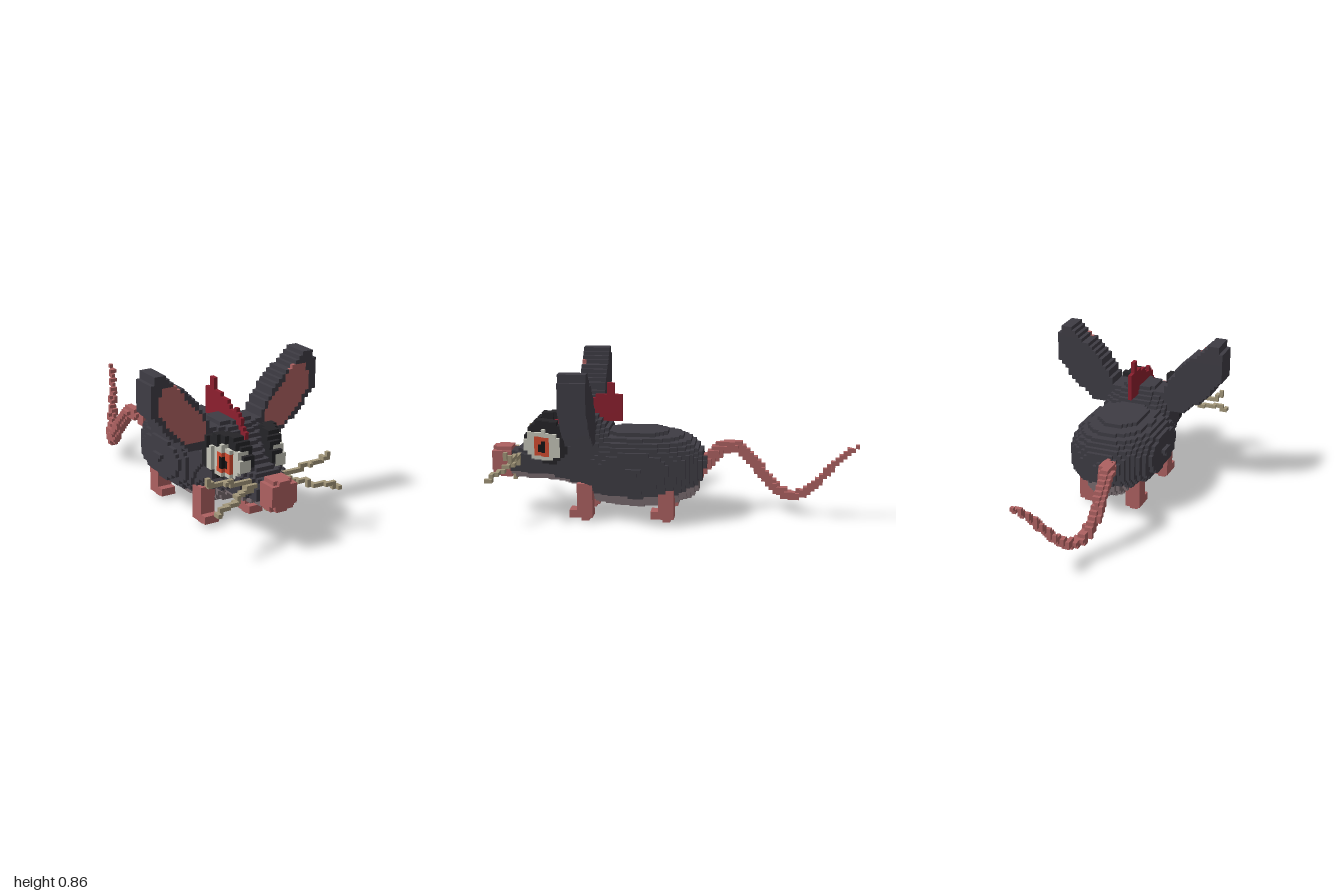
import * as THREE from 'three';

const S = 2 / 95; // cube size
const COLORS = {
  fur: 0x3e3c44, darkFur: 0x252428, skin: 0xad6161, belly: 0x776a6e, crest: 0x8c1f2e,
  whisker: 0xa3977a, eyeWhite: 0xc6c6ba, iris: 0xd64c30, pupil: 0x171516,
};
const V = (x, y, z) => new THREE.Vector3(x, y, z);

// Linear interpolation over rows [key, a, b, ...]
function sample(rows, k) {
  if (k < rows[0][0] || k > rows[rows.length - 1][0]) return null;
  let i = 1;
  while (rows[i][0] < k) i++;
  const p = rows[i - 1], q = rows[i], t = (k - p[0]) / (q[0] - p[0]);
  return p.map((v, n) => v + (q[n] - v) * t);
}

function inPolygon(pts, x, y) {
  let inside = false;
  for (let i = 0, j = pts.length - 1; i < pts.length; j = i++) {
    const [ax, ay] = pts[i], [bx, by] = pts[j];
    if (ay > y !== by > y && x < ((bx - ax) * (y - ay)) / (by - ay) + ax) inside = !inside;
  }
  return inside;
}

const blob = (c, r, e) => (x, y, z) =>
  Math.abs((x - c[0]) / r[0]) ** e + Math.abs((y - c[1]) / r[1]) ** e + Math.abs((z - c[2]) / r[2]) ** e < 1;

export function createModel() {
  const cells = new Map(); // "i,j,k" -> part name
  const partColor = {};
  const key = (i, j, k) => i + ',' + j + ',' + k;

  // Fill every cube whose centre lies in the box and passes the test
  function paint(name, color, lo, hi, test = () => true) {
    partColor[name] = color;
    for (let i = Math.ceil(lo[0] / S); i * S <= hi[0]; i++)
      for (let j = Math.max(0, Math.ceil(lo[1] / S - 0.5)); (j + 0.5) * S <= hi[1]; j++)
        for (let k = Math.max(-47, Math.ceil(lo[2] / S)); k <= 47 && k * S <= hi[2]; k++)
          if (test(i * S, (j + 0.5) * S, k * S)) cells.set(key(i, j, k), name);
  }
  // The same on both sides; tests see x as positive
  function paintPair(name, color, lo, hi, test = () => true) {
    paint('left' + name, color, lo, hi, test);
    paint('right' + name, color, [-hi[0], lo[1], lo[2]], [-lo[0], hi[1], hi[2]], (x, y, z) => test(-x, y, z));
  }
  // Thread of cubes along a curve, tapering from r0 to r1
  function thread(name, color, points, r0, r1, mirror = 1) {
    partColor[name] = color;
    const curve = new THREE.CatmullRomCurve3(points.map((p) => V(p[0] * mirror, p[1], p[2])));
    for (let n = 0; n <= 240; n++) {
      const p = curve.getPoint(n / 240), r = r0 + ((r1 - r0) * n) / 240;
      cells.set(key(Math.round(p.x / S), Math.max(0, Math.floor(p.y / S)), Math.max(-47, Math.round(p.z / S))), name);
      paint(name, color, [p.x - r, p.y - r, p.z - r], [p.x + r, p.y + r, p.z + r],
        (x, y, z) => p.distanceTo(V(x, y, z)) < r);
    }
  }

  // Body and belly
  paint('body', 'fur', [-0.26, 0.1, -0.2], [0.26, 0.5, 0.6], blob([0, 0.3, 0.2], [0.253, 0.187, 0.37], 2.4));
  paint('belly', 'belly', [-0.2, 0.05, -0.2], [0.2, 0.23, 0.56], blob([0, 0.2, 0.2], [0.15, 0.135, 0.345], 2.3));

  // Head: z, half width, bottom, top
  const headRows = [
    [0.34, 0.19, 0.16, 0.49], [0.42, 0.2, 0.17, 0.565], [0.55, 0.19, 0.19, 0.575], [0.65, 0.165, 0.21, 0.49],
    [0.78, 0.145, 0.215, 0.42], [0.85, 0.105, 0.215, 0.375], [0.92, 0.07, 0.225, 0.34],
  ];
  const inHead = (x, y, z) => {
    const r = sample(headRows, z);
    if (!r) return false;
    const [, w, b, t] = r;
    return Math.abs(x / w) ** 2.6 + Math.abs((y - (b + t) / 2) / ((t - b) / 2)) ** 2.6 < 1;
  };
  paint('head', 'fur', [-0.22, 0.12, 0.34], [0.22, 0.6, 0.92], inHead);
  paint('chin', 'belly', [-0.11, 0.12, 0.5], [0.11, 0.26, 0.92], inHead);

  // Ears with flush inner skin on the front layer
  const ear = [
    [0.12, 0.45], [0.29, 0.45], [0.33, 0.49], [0.38, 0.53], [0.44, 0.6], [0.495, 0.66], [0.5, 0.77],
    [0.47, 0.858], [0.42, 0.858], [0.36, 0.81], [0.27, 0.73], [0.2, 0.65], [0.155, 0.57], [0.13, 0.5],
  ];
  const innerEar = [
    [0.18, 0.485], [0.3, 0.485], [0.39, 0.58], [0.45, 0.66], [0.46, 0.74], [0.42, 0.795],
    [0.36, 0.795], [0.29, 0.72], [0.2, 0.63], [0.18, 0.57],
  ];
  paintPair('Ear', 'fur', [0.1, 0.4, 0.415], [0.52, 0.87, 0.555], (x, y) => inPolygon(ear, x, y));
  paintPair('InnerEar', 'skin', [0.1, 0.4, 0.535], [0.52, 0.87, 0.555], (x, y) => inPolygon(innerEar, x, y));

  // Eyes: slanted discs set into dark sockets
  const disc = (cz, cy, rz, ry, inner, outer, e = 2) => (x, y, z) => {
    const d = x - (0.148 - (z - 0.7) * 0.4);
    return d > inner && d < outer && Math.abs((z - cz) / rz) ** e + Math.abs((y - cy) / ry) ** e < 1;
  };
  const eyeLo = [0.05, 0.28, 0.5], eyeHi = [0.24, 0.6, 0.86];
  paintPair('EyeSocket', 'darkFur', eyeLo, eyeHi, disc(0.68, 0.435, 0.125, 0.12, -0.07, 0.005));
  paintPair('EyeWhite', 'eyeWhite', eyeLo, eyeHi, disc(0.7, 0.415, 0.105, 0.08, -0.04, 0.02, 2.4));
  paintPair('Iris', 'iris', eyeLo, eyeHi, disc(0.703, 0.415, 0.048, 0.05, -0.04, 0.02, 8));
  paintPair('Pupil', 'pupil', eyeLo, eyeHi, disc(0.7, 0.41, 0.026, 0.027, -0.04, 0.02, 2));

  // Nose and teeth
  paint('nose', 'skin', [-0.08, 0.22, 0.885], [0.08, 0.38, 1], blob([0, 0.298, 0.93], [0.083, 0.083, 0.09], 3));
  paintPair('Tooth', 'whisker', [0.01, 0.18, 0.87], [0.03, 0.225, 0.89]);

  // Whiskers
  for (const [side, m] of [['left', 1], ['right', -1]]) {
    thread(side + 'UpperWhisker', 'whisker',
      [[0.08, 0.32, 0.85], [0.13, 0.34, 0.84], [0.2, 0.35, 0.84], [0.25, 0.37, 0.85], [0.34, 0.38, 0.85], [0.355, 0.41, 0.87]], 0.018, 0.011, m);
    thread(side + 'LowerWhisker', 'whisker',
      [[0.08, 0.31, 0.86], [0.14, 0.31, 0.86], [0.2, 0.3, 0.89], [0.25, 0.28, 0.92], [0.34, 0.28, 0.95], [0.355, 0.255, 0.97]], 0.018, 0.011, m);
  }

  // Legs with forward feet
  for (const [name, z] of [['Front', 0.44], ['Hind', 0]]) {
    paintPair(name + 'Leg', 'skin', [0.1, 0.02, z], [0.17, 0.2, z + 0.08]);
    paintPair(name + 'Foot', 'skin', [0.1, 0.02, z], [0.185, 0.06, z + 0.125]);
    paintPair(name + 'Sole', 'skin', [0.12, 0, z + 0.01], [0.16, 0.02, z + 0.06]);
  }

  // Jagged crest along the head
  const crest = [
    [0.28, 0.48], [0.28, 0.66], [0.32, 0.68], [0.325, 0.73], [0.365, 0.73], [0.37, 0.68], [0.42, 0.68],
    [0.45, 0.63], [0.48, 0.67], [0.51, 0.62], [0.55, 0.6], [0.575, 0.63], [0.62, 0.57], [0.67, 0.5], [0.67, 0.47],
  ];
  paint('crest', 'crest', [0, 0.47, 0.27], [0, 0.74, 0.68],
    (x, y, z) => inPolygon(crest, z, y) && (z > 0.42 || y > 0.53) && !inHead(x, y, z));

  // Tail
  thread('tail', 'skin', [
    [-0.02, 0.24, -0.12], [-0.05, 0.29, -0.17], [-0.09, 0.36, -0.25], [-0.115, 0.37, -0.33], [-0.12, 0.29, -0.42],
    [-0.12, 0.19, -0.51], [-0.1, 0.125, -0.58], [-0.075, 0.11, -0.65], [-0.04, 0.14, -0.72], [0, 0.2, -0.78],
    [0.05, 0.31, -0.86], [0.08, 0.38, -0.92], [0.11, 0.43, -0.99],
  ], 0.042, 0.013);

  // Turn the exposed cube faces of every part into one mesh
  const sides = [];
  for (let a = 0; a < 3; a++)
    for (const d of [1, -1]) {
      const n = [0, 0, 0];
      n[a] = d;
      const corners = [[-1, -1], [1, -1], [1, 1], [-1, 1]].map(([u, v]) => {
        const c = [0, 0, 0];
        c[a] = d; c[(a + 1) % 3] = u * d; c[(a + 2) % 3] = v;
        return c;
      });
      sides.push([n, corners]);
    }
  const faces = {};
  for (const [id, name] of cells) {
    const c = id.split(',').map(Number);
    const part = (faces[name] ??= { pos: [], nor: [] });
    for (const [n, q] of sides) {
      if (cells.has(key(c[0] + n[0], c[1] + n[1], c[2] + n[2]))) continue;
      for (const t of [0, 1, 2, 0, 2, 3]) {
        part.pos.push((c[0] + q[t][0] / 2) * S, (c[1] + 0.5 + q[t][1] / 2) * S, (c[2] + q[t][2] / 2) * S);
        part.nor.push(...n);
      }
    }
  }
  const materials = {};
  for (const [name, color] of Object.entries(COLORS)) {
    materials[name] = new THREE.MeshStandardMaterial({ color });
    materials[name].name = name;
  }
  const group = new THREE.Group();
  group.name = 'mouse';
  for (const [name, { pos, nor }] of Object.entries(faces)) {
    if (!pos.length) continue;
    const geometry = new THREE.BufferGeometry();
    geometry.setAttribute('position', new THREE.Float32BufferAttribute(pos, 3));
    geometry.setAttribute('normal', new THREE.Float32BufferAttribute(nor, 3));
    const mesh = new THREE.Mesh(geometry, materials[partColor[name]]);
    mesh.name = name;
    group.add(mesh);
  }
  return group;
}
